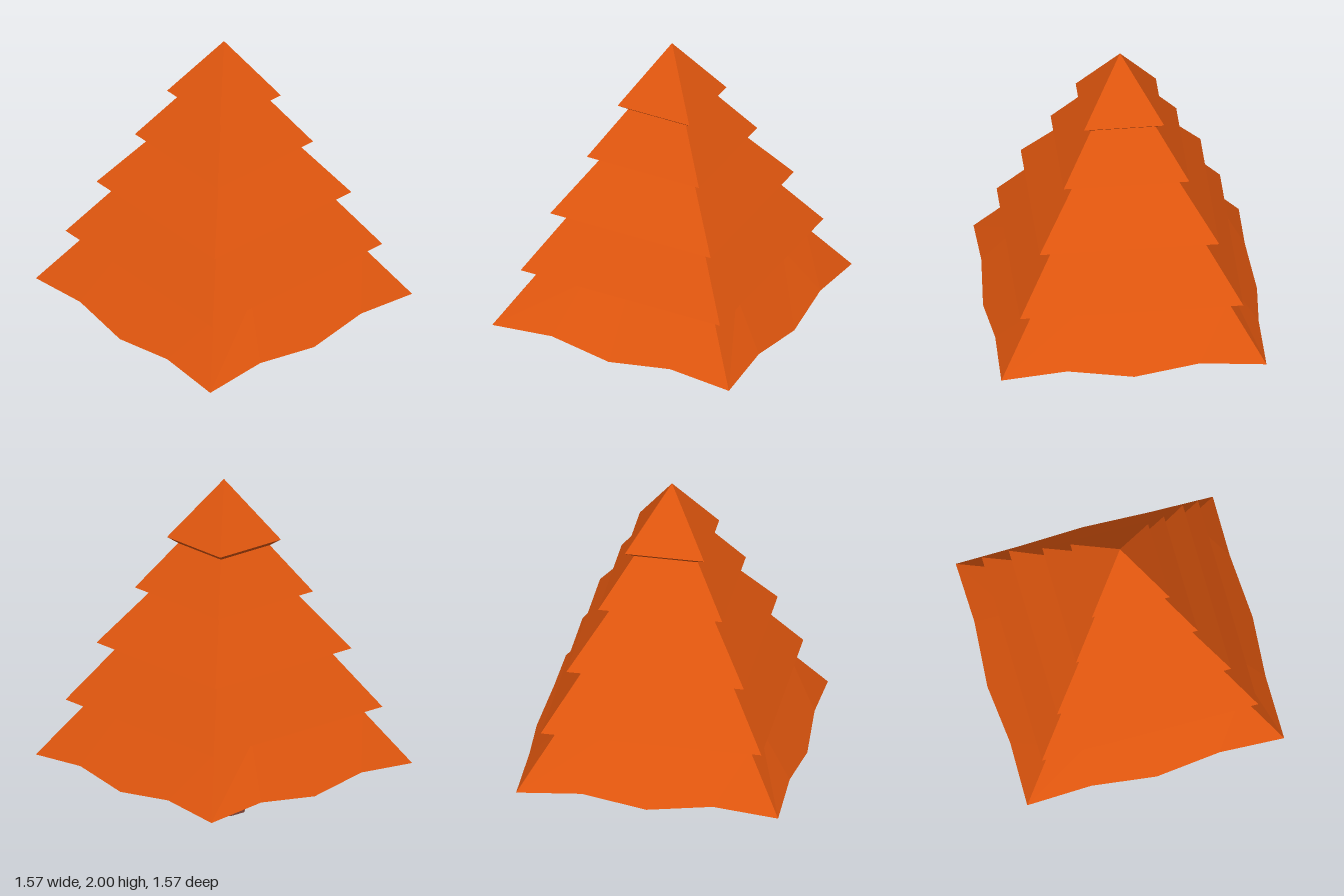
import * as THREE from 'three';

const foliage = new THREE.MeshStandardMaterial({ color: 0xe0560e, flatShading: true, side: THREE.DoubleSide });
const bark = new THREE.MeshStandardMaterial({ color: 0x703c32, flatShading: true });

// Square ring, counter-clockwise from above; steps = [outward half width, y] along each side
function squareRing(steps) {
  const ring = [];
  const n = steps.length;
  for (let side = 0; side < 4; side++) {
    for (let i = 0; i < n; i++) {
      const [half, y] = steps[i];
      const p = new THREE.Vector3((-1 + (2 * i) / n) * steps[0][0], y, half);
      ring.push(p.applyAxisAngle(new THREE.Vector3(0, 1, 0), (side * Math.PI) / 2));
    }
  }
  return ring;
}

// Skin between rings listed from the inner underside up to the top
function loft(rings) {
  const pos = [];
  const tri = (...pts) => pts.forEach((p) => pos.push(p.x, p.y, p.z));
  for (let r = 0; r < rings.length - 1; r++) {
    const a = rings[r];
    const b = rings[r + 1];
    for (let i = 0; i < a.length; i++) {
      const j = (i + 1) % a.length;
      tri(a[i], a[j], b[j]);
      if (b[i].distanceTo(b[j]) > 1e-6) tri(a[i], b[j], b[i]);
    }
  }
  const geo = new THREE.BufferGeometry();
  geo.setAttribute('position', new THREE.Float32BufferAttribute(pos, 3));
  geo.computeVertexNormals();
  return geo;
}

export function createModel() {
  const tree = new THREE.Group();
  tree.name = 'tree';
  const add = (name, geo, mat) => {
    const mesh = new THREE.Mesh(geo, mat);
    mesh.name = name;
    tree.add(mesh);
  };

  // Trunk: octagonal, flared at the foot and tapering upwards
  const profile = [[0, 0], [0.12, 0], [0.088, 0.05], [0.075, 0.32], [0.06, 0.95], [0, 0.95]];
  const trunk = new THREE.LatheGeometry(
    profile.map(([r, y]) => new THREE.Vector2(r / Math.cos(Math.PI / 8), y)), 8, Math.PI / 8);
  add('trunk', trunk, bark);

  // Bottom tier: wavy hem with a rim turned inwards, hollow underneath
  const flat = (half, y) => squareRing(Array(4).fill([half, y]));
  const hem = squareRing([[0.76, 0.303], [0.755, 0.335], [0.785, 0.29], [0.755, 0.335]]);
  add('bottomTier', loft([flat(0.58, 0.303), hem, flat(0.56, 0.615)]), foliage);

  // Upper tiers: [ledge inner half, y, outer half, y, top half, y]
  const tiers = [
    [0.54, 0.609, 0.64, 0.64, 0.435, 0.96],
    [0.415, 0.953, 0.515, 0.99, 0.3, 1.305],
    [0.28, 1.295, 0.36, 1.33, 0.185, 1.605],
    [0.165, 1.59, 0.23, 1.64, 0, 2],
  ];
  tiers.forEach(([a, ay, b, by, c, cy], i) => {
    const rings = [[a, ay], [b, by], [c, cy]].map((step) => squareRing([step]));
    add(`tier${i + 2}`, loft(rings), foliage);
  });
  return tree;
}
